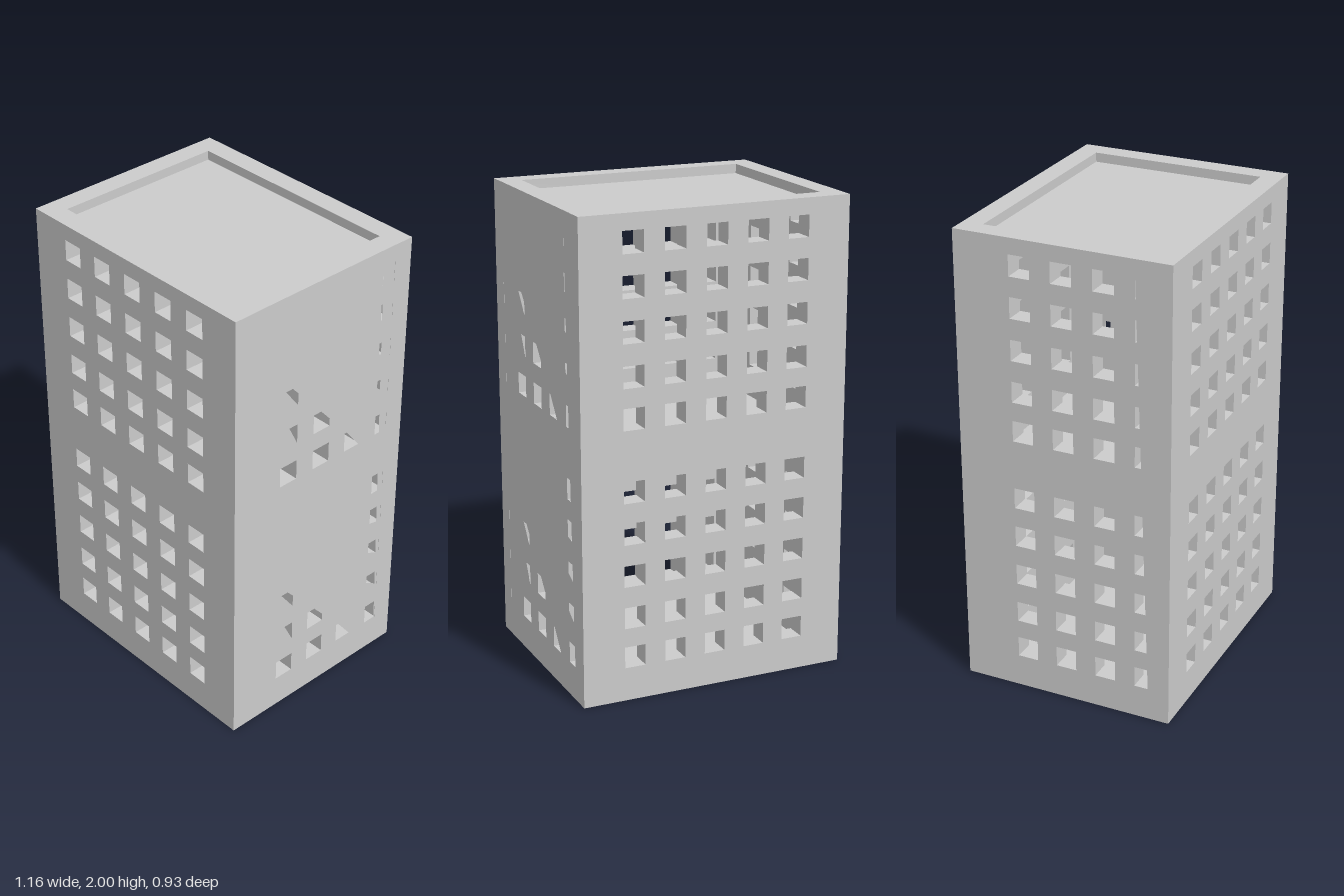
import * as THREE from 'three';

const W = 1.16, D = 0.926, H = 2, T = 0.088, ROOF = 1.96;
const COLS = [-0.355, -0.178, 0, 0.178, 0.355];
const ROWS = [0.187, 0.357, 0.535, 0.713, 0.887];
const HALF = 0.045;

const rect = (x0, y0, x1, y1) => [[x0, y0], [x1, y0], [x1, y1], [x0, y1]];
const toPoints = (pts) => pts.map(([x, y]) => new THREE.Vector2(x, y));

// Wall outline with the same set of openings on both storey blocks
function wallShape(width, openings) {
  const shape = new THREE.Shape(toPoints(rect(-width / 2, 0, width / 2, H)));
  for (const base of [0, 1]) {
    for (const pts of openings) {
      shape.holes.push(new THREE.Path(toPoints(pts.map(([x, y]) => [x, y + base]))));
    }
  }
  return shape;
}

const windows = ROWS.flatMap((y) => COLS.map((x) => rect(x - HALF, y - HALF, x + HALF, y + HALF)));

// Partly covered openings of the left wall, as [z, y]
const partialOpenings = [
  // first row
  [[0.4, 0.142], [0.4, 0.232], [0.325, 0.232], [0.31, 0.142]],
  rect(0.133, 0.142, 0.223, 0.232),
  rect(-0.045, 0.142, 0.045, 0.232),
  [[-0.133, 0.142], [-0.133, 0.232], [-0.145, 0.232], [-0.215, 0.142]],
  rect(-0.4, 0.142, -0.31, 0.232),
  // second row
  [[0.4, 0.312], [0.4, 0.402], [0.345, 0.402], [0.33, 0.312]],
  [[0.178, 0.402], [0.133, 0.402], [0.133, 0.312]],
  [[0.045, 0.312], [0.045, 0.402], [0.005, 0.402], [-0.045, 0.345], [-0.045, 0.312]],
  [[-0.31, 0.402], [-0.4, 0.402], [-0.4, 0.312], [-0.31, 0.367]],
  // third row
  [[0.4, 0.49], [0.4, 0.58], [0.367, 0.58], [0.355, 0.49]],
  [[0.2, 0.58], [0.165, 0.58], [0.133, 0.545], [0.133, 0.49]],
  [[-0.31, 0.58], [-0.4, 0.58], [-0.4, 0.49], [-0.31, 0.53]],
  // fourth row
  [[0.4, 0.668], [0.4, 0.758], [0.39, 0.758], [0.375, 0.668]],
  [[-0.31, 0.758], [-0.4, 0.758], [-0.4, 0.668], [-0.31, 0.686]],
  // fifth row
  rect(-0.4, 0.842, -0.31, 0.932),
];

export function createModel() {
  const group = new THREE.Group();
  const material = new THREE.MeshStandardMaterial({ color: 0xcccccc, flatShading: true });
  const add = (name, geometry) => {
    const mesh = new THREE.Mesh(geometry, material);
    mesh.name = name;
    group.add(mesh);
    return mesh;
  };

  // Four window walls, each extruded outwards from the inner face
  const addWall = (name, width, distance, angle) => {
    const geometry = new THREE.ExtrudeGeometry(wallShape(width, windows), { depth: T, bevelEnabled: false });
    geometry.translate(0, 0, distance - T);
    geometry.rotateY(angle);
    add(name, geometry);
  };
  addWall('frontWall', W, D / 2, 0);
  addWall('backWall', W, D / 2, Math.PI);
  addWall('leftWall', D - 2 * T, W / 2 - 0.001, Math.PI / 2);
  addWall('rightWall', D - 2 * T, W / 2, -Math.PI / 2);

  // Facing sheet that covers much of the left wall
  const facing = new THREE.ShapeGeometry(
    wallShape(D, partialOpenings.map((pts) => pts.map(([z, y]) => [-z, y])))
  );
  facing.rotateY(Math.PI / 2);
  facing.translate(W / 2, 0, 0);
  const sheet = add('leftFacing', facing);
  sheet.material = material.clone();
  sheet.material.side = THREE.DoubleSide;

  // Ground floor, middle floor and sunken roof inside the walls
  const slabs = [['groundFloor', 0, 0.04], ['middleFloor', 0.94, 1], ['roof', 1.935, ROOF]];
  for (const [name, y0, y1] of slabs) {
    const slab = new THREE.BoxGeometry(W - 2 * T, y1 - y0, D - 2 * T);
    slab.translate(0, (y0 + y1) / 2, 0);
    add(name, slab);
  }
  return group;
}
